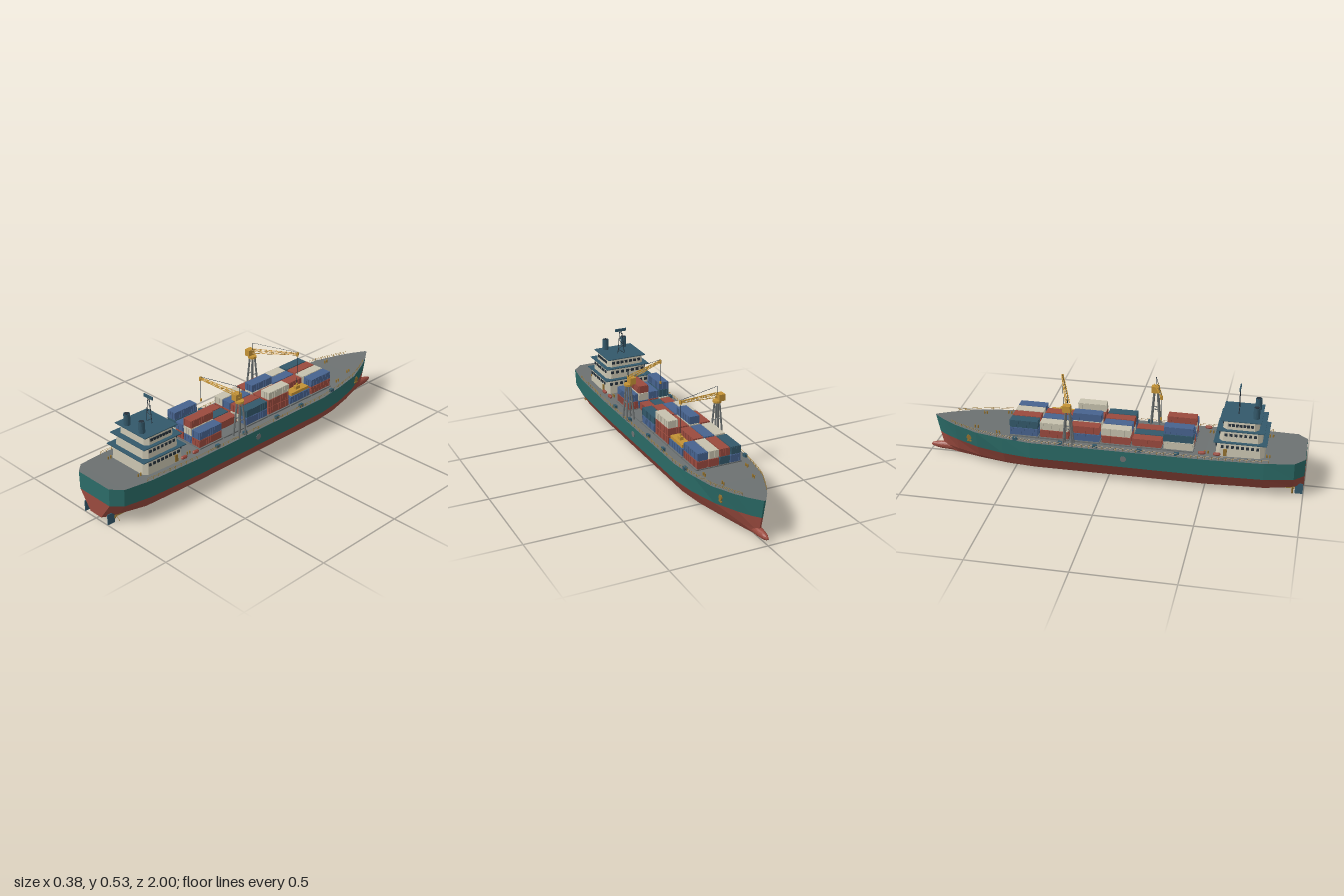
import * as THREE from 'three';
import { mergeGeometries } from 'three/addons/utils/BufferGeometryUtils.js';

const mat = (name, color) => Object.assign(new THREE.MeshStandardMaterial({ color, flatShading: true }), { name });
const M = {
  teal: mat('hull teal', 0x2b6b67), red: mat('oxide red', 0x9a4a3e), cream: mat('cream', 0xc6c1ad),
  slate: mat('slate blue', 0x33586a), blue: mat('container blue', 0x47638f), yellow: mat('crane yellow', 0xc39235),
  grey: mat('deck grey', 0x6c7171), dark: mat('dark trim', 0x25303a), brass: mat('brass', 0x94722f),
};
const V = (x, y, z) => new THREE.Vector3(x, y, z);

function box(w, h, d, x, y, z) {
  return new THREE.BoxGeometry(w, h, d).translate(x, y, z);
}
function cyl(r, h, x, y, z, n = 12, r2 = r) {
  return new THREE.CylinderGeometry(r2, r, h, n).translate(x, y, z);
}
// Round bar between two points
function bar(a, b, r, n = 5) {
  const d = b.clone().sub(a), g = new THREE.CylinderGeometry(r, r, d.length(), n);
  g.applyQuaternion(new THREE.Quaternion().setFromUnitVectors(V(0, 1, 0), d.normalize()));
  const m = a.clone().add(b).multiplyScalar(0.5);
  return g.translate(m.x, m.y, m.z);
}
function add(parent, name, material, geos) {
  const mesh = new THREE.Mesh(Array.isArray(geos) ? mergeGeometries(geos) : geos, material);
  mesh.name = name;
  parent.add(mesh);
  return mesh;
}

// Hull stations, stern to bow: z, then half width and height at deck, waterline, bilge, bottom
const stations = [
  [1.0, 0.112, 0.213, 0.110, 0.12, 0.075, 0.072, 0.04, 0.025],
  [0.95, 0.163, 0.210, 0.158, 0.118, 0.11, 0.055, 0.058, 0.019],
  [0.8, 0.180, 0.204, 0.177, 0.112, 0.134, 0.042, 0.075, 0.009],
  [0.5, 0.183, 0.197, 0.180, 0.106, 0.138, 0.038, 0.083, 0.003],
  [-0.4, 0.182, 0.195, 0.178, 0.106, 0.138, 0.038, 0.083, 0.003],
  [-0.55, 0.165, 0.198, 0.158, 0.107, 0.12, 0.038, 0.07, 0.003],
  [-0.7, 0.138, 0.202, 0.120, 0.109, 0.085, 0.04, 0.045, 0.006],
  [-0.83, 0.085, 0.208, 0.065, 0.113, 0.042, 0.045, 0.022, 0.012],
  [-0.9, 0.046, 0.212, 0.030, 0.116, 0.018, 0.05, 0.01, 0.018],
  [-0.96, 0.005, 0.216, 0.004, 0.119, 0.004, 0.055, 0.003, 0.025],
];
const stemZ = [-0.96, -0.94, -0.925, -0.915];
const hullPoint = (i, k, s) => {
  const a = stations[i];
  return [s * a[1 + 2 * k], a[2 + 2 * k], i === stations.length - 1 ? stemZ[k] : a[0]];
};
function hullSurface(rows, deck, sides, bottom) {
  const p = [], last = stations.length - 1, P = hullPoint;
  const quad = (a, b, c, d) => p.push(...a, ...b, ...c, ...a, ...c, ...d);
  for (let i = 0; i < last; i++) {
    if (sides) for (const k of rows) {
      quad(P(i, k, 1), P(i, k + 1, 1), P(i + 1, k + 1, 1), P(i + 1, k, 1));
      quad(P(i + 1, k, -1), P(i + 1, k + 1, -1), P(i, k + 1, -1), P(i, k, -1));
    }
    if (deck) quad(P(i, 0, -1), P(i, 0, 1), P(i + 1, 0, 1), P(i + 1, 0, -1));
    if (bottom) quad(P(i + 1, 3, -1), P(i + 1, 3, 1), P(i, 3, 1), P(i, 3, -1));
  }
  if (sides) for (const k of rows) {
    quad(P(0, k + 1, -1), P(0, k + 1, 1), P(0, k, 1), P(0, k, -1));
    quad(P(last, k, -1), P(last, k, 1), P(last, k + 1, 1), P(last, k + 1, -1));
  }
  const g = new THREE.BufferGeometry();
  g.setAttribute('position', new THREE.Float32BufferAttribute(p, 3));
  g.computeVertexNormals();
  return g;
}
// Half width and height of the deck edge at z
function deckAt(z) {
  let i = 0;
  while (i < stations.length - 2 && stations[i + 1][0] > z) i++;
  const a = stations[i], b = stations[i + 1], t = (a[0] - z) / (a[0] - b[0]);
  return [a[1] + (b[1] - a[1]) * t, a[2] + (b[2] - a[2]) * t];
}

// Deckhouse tier: chamfered plan, tapering upward
function tier(hw, z0, z1, y0, y1) {
  const c = 0.02, hd = (z1 - z0) / 2, h = y1 - y0;
  const s = new THREE.Shape([[hw, c - hd], [hw, hd - c], [hw - c, hd], [c - hw, hd], [-hw, hd - c], [-hw, c - hd],
    [c - hw, -hd], [hw - c, -hd]].map(([x, y]) => new THREE.Vector2(x, y)));
  const g = new THREE.ExtrudeGeometry(s, { depth: h, bevelEnabled: false }).rotateX(-Math.PI / 2);
  const q = g.attributes.position;
  for (let i = 0; i < q.count; i++) {
    const k = 1 - 0.05 * q.getY(i) / h;
    q.setXYZ(i, q.getX(i) * k, q.getY(i), q.getZ(i) * k);
  }
  g.computeVertexNormals();
  return g.translate(0, y0, (z0 + z1) / 2);
}

function crane(name, x, z, tipX, tipZ, drop) {
  const g = new THREE.Group();
  g.name = name;
  g.position.set(x, 0, z);
  const legs = [], lattice = [];
  for (const sx of [-1, 1]) for (const sz of [-1, 1])
    legs.push(bar(V(sx * 0.021, 0.19, sz * 0.024), V(sx * 0.009, 0.388, sz * 0.009), 0.005, 8));
  for (const s of [-1, 1]) legs.push(bar(V(s * 0.015, 0.29, -0.016), V(s * 0.015, 0.29, 0.016), 0.003));
  add(g, 'craneLegs', M.grey, legs);
  add(g, 'cranePlatform', M.yellow, [cyl(0.023, 0.011, 0, 0.39, 0, 12), box(0.033, 0.035, 0.04, -0.02, 0.41, 0)]);
  // Lattice jib with three chords, pointing along local x
  const jib = new THREE.Group(), L = Math.hypot(tipX - x, tipZ - z), n = 8;
  jib.name = 'jib';
  jib.rotation.y = Math.atan2(-(tipZ - z), tipX - x);
  const at = (k, j) => {
    const t = k / n, w = 0.011 * (1 - 0.6 * t);
    return j === 2 ? V(L * t, 0.409 + 0.046 * t, 0) : V(L * t, 0.431 + 0.033 * t, j ? w : -w);
  };
  for (let j = 0; j < 3; j++) lattice.push(bar(at(0, j), at(n, j), 0.002));
  for (let k = 0; k < n; k++) for (const j of [0, 1]) {
    lattice.push(bar(at(k, k % 2 ? j : 2), at(k + 1, k % 2 ? 2 : j), 0.0013));
    if (j) lattice.push(bar(at(k, 0), at(k + 1, 1), 0.0012));
  }
  lattice.push(box(0.009, 0.02, 0.012, L, 0.459, 0));
  add(jib, 'jibLattice', M.yellow, lattice);
  add(jib, 'hoistCables', M.dark, [
    bar(V(0, 0.47, 0), V(L, 0.47, 0), 0.0011), bar(V(0, 0.43, 0), V(0, 0.47, 0), 0.0015),
    bar(V(L, 0.465, 0), V(L, drop, 0), 0.0012)]);
  add(jib, 'hook', M.yellow, box(0.008, 0.014, 0.008, L, drop, 0));
  g.add(jib);
  return g;
}

export function createModel() {
  const ship = new THREE.Group();
  ship.name = 'cargoShip';

  // Hull
  add(ship, 'upperHull', M.teal, hullSurface([0], false, true, false));
  add(ship, 'lowerHull', M.red, hullSurface([1, 2], false, true, true));
  add(ship, 'deck', M.grey, hullSurface([], true, false, false));
  add(ship, 'bulbousBow', M.red, new THREE.SphereGeometry(1, 14, 10).scale(0.021, 0.023, 0.11).translate(0, 0.036, -0.89));

  // Rudders and propellers
  for (const s of [-1, 1]) {
    add(ship, 'rudder', M.slate, box(0.005, 0.056, 0.04, s * 0.086, 0.031, 0.978));
    const prop = new THREE.Group(), blades = [];
    prop.name = 'propeller';
    prop.position.set(s * 0.086, 0.034, 0.945);
    for (let i = 0; i < 4; i++)
      blades.push(box(0.014, 0.026, 0.003, 0, 0, 0).rotateY(0.5).translate(0, 0.018, 0).rotateZ(0.9 * s + i * Math.PI / 2));
    blades.push(new THREE.CylinderGeometry(0.005, 0.005, 0.06, 8).rotateX(Math.PI / 2).translate(0, 0, -0.02));
    add(prop, 'blades', M.brass, blades);
    ship.add(prop);
  }

  // Deck fittings on both sides
  for (const s of [-1, 1]) {
    const rail = [];
    const edge = (z, h) => { const [w, y] = deckAt(z); return V(s * (w - 0.005), y + h, z); };
    for (let i = 0; i <= 48; i++) {
      const z = 0.82 - i * 0.035;
      rail.push(bar(edge(z, 0), edge(z, 0.016), 0.0009, 4));
      if (i < 48) for (const h of [0.009, 0.016]) rail.push(bar(edge(z, h), edge(z - 0.035, h), 0.0009, 4));
    }
    add(ship, 'railing', M.brass, rail);
    add(ship, 'ventBoxes', M.slate, [-0.48, -0.24, -0.06, 0.17, 0.36].map(z => box(0.014, 0.018, 0.024, s * 0.165, 0.204, z)));
    const posts = [];
    for (const [x, z] of [[0.082, -0.71], [0.115, -0.585], [0.112, 0.505], [0.112, 0.815]])
      for (const d of [-0.008, 0.008]) posts.push(cyl(0.004, 0.016, s * x, deckAt(z)[1] + 0.007, z + d, 8));
    add(ship, 'bollards', M.brass, posts);
    for (const z of [0.485, 0.56])
      add(ship, 'lifeboat', M.red, new THREE.CapsuleGeometry(0.009, 0.02, 4, 8).rotateX(Math.PI / 2).translate(s * 0.142, 0.214, z));
    // Anchor and hull disc
    add(ship, 'anchor', M.brass, [
      new THREE.CylinderGeometry(0.014, 0.014, 0.006, 12).rotateZ(Math.PI / 2).translate(s * 0.113, 0.158, -0.745),
      box(0.008, 0.034, 0.006, s * 0.113, 0.152, -0.745), box(0.008, 0.006, 0.024, s * 0.112, 0.138, -0.745)]);
    add(ship, 'hullDisc', M.grey, new THREE.CylinderGeometry(0.016, 0.016, 0.005, 16).rotateZ(Math.PI / 2).translate(s * 0.181, 0.155, 0.09));
  }

  // Containers: four stacks per row, each listed bottom to top
  const colours = { R: M.red, B: M.blue, W: M.cream, T: M.slate };
  const rows = [
    [-0.445, 'BT', 'TR', 'RW', 'RB'], [-0.284, 'RW', 'WB', 'BR', 'B'], [-0.122, 'BR', 'RWB', 'TR', 'RRW'],
    [0.039, 'RW', 'RB', 'WR', 'BT'], [0.2, 'R', 'T', 'R', ''], [0.361, 'WTB', 'RB', 'BWR', 'RB'],
  ];
  const parts = [box(0.054, 0.04, 0.148, 0, 0, 0)];
  for (let i = 0; i <= 10; i++) parts.push(box(0.057, 0.036, 0.006, 0, 0, -0.07 + i * 0.014));
  for (const x of [-0.02, -0.007, 0.007, 0.02]) parts.push(box(0.005, 0.036, 0.151, x, 0, 0));
  const containerGeo = mergeGeometries(parts);
  for (const [z, ...stacks] of rows) {
    add(ship, 'hatchCover', M.grey, box(0.25, 0.014, 0.155, 0, 0.196, z));
    stacks.forEach((stack, c) => [...stack].forEach((k, level) =>
      add(ship, 'container', colours[k], containerGeo).position.set(-0.09 + c * 0.06, 0.223 + level * 0.042, z)));
  }

  // Cranes, one carrying a spreader
  ship.add(crane('forwardCrane', -0.155, -0.2, 0.092, -0.285, 0.285));
  ship.add(crane('aftCrane', 0.157, 0.2, -0.058, 0.262, 0.34));
  add(ship, 'spreader', M.yellow, [box(0.048, 0.016, 0.13, 0.092, 0.254, -0.284), box(0.02, 0.018, 0.03, 0.092, 0.27, -0.284)]);

  // Superstructure with overhanging roofs, windows and doors
  const tiers = [[0.133, 0.55, 0.797, 0.192, 0.276, 0.138, 8], [0.119, 0.565, 0.782, 0.276, 0.337, 0.126, 7],
    [0.106, 0.58, 0.762, 0.337, 0.386, 0.111, 7]];
  const house = new THREE.Group();
  house.name = 'superstructure';
  for (const [hw, z0, z1, y0, y1, roof, n] of tiers) {
    add(house, 'deckhouse', M.cream, tier(hw, z0, z1, y0, y1));
    add(house, 'roof', M.slate, box(roof * 2, 0.004, z1 - z0 + 0.02, 0, y1 + 0.001, (z0 + z1) / 2));
    const win = [], y = y1 - 0.023, span = hw - 0.03;
    for (let i = 0; i < n; i++) {
      const t = i / (n - 1);
      win.push(box(0.016, 0.014, 0.008, -span + 2 * span * t, y, z0 + 0.002));
      for (const s of [-1, 1]) win.push(box(0.008, 0.014, 0.014, s * (hw * 0.965), y, z0 + 0.035 + (z1 - z0 - 0.07) * t));
    }
    add(house, 'windows', M.dark, win);
  }
  for (const s of [-1, 1]) {
    add(house, 'door', M.brass, box(0.009, 0.036, 0.018, s * 0.13, 0.222, 0.6));
    add(house, 'funnel', M.slate, cyl(0.0165, 0.074, s * 0.054, 0.411, 0.742, 16));
    add(house, 'funnelMouth', M.dark, cyl(0.013, 0.003, s * 0.054, 0.448, 0.742, 16));
  }
  // Lattice mast and radar
  const mast = [], m = (t, s) => V(s * (0.02 - 0.014 * t), 0.386 + 0.134 * t, 0.65);
  for (const s of [-1, 1]) mast.push(bar(m(0, s), m(1, s), 0.0018));
  for (let i = 0; i < 5; i++) mast.push(bar(m(i / 5, i % 2 ? 1 : -1), m((i + 1) / 5, i % 2 ? -1 : 1), 0.0014));
  add(house, 'mast', M.dark, mast);
  add(house, 'radar', M.slate, box(0.064, 0.015, 0.006, 0, 0.524, 0.65));
  ship.add(house);
  return ship;
}
